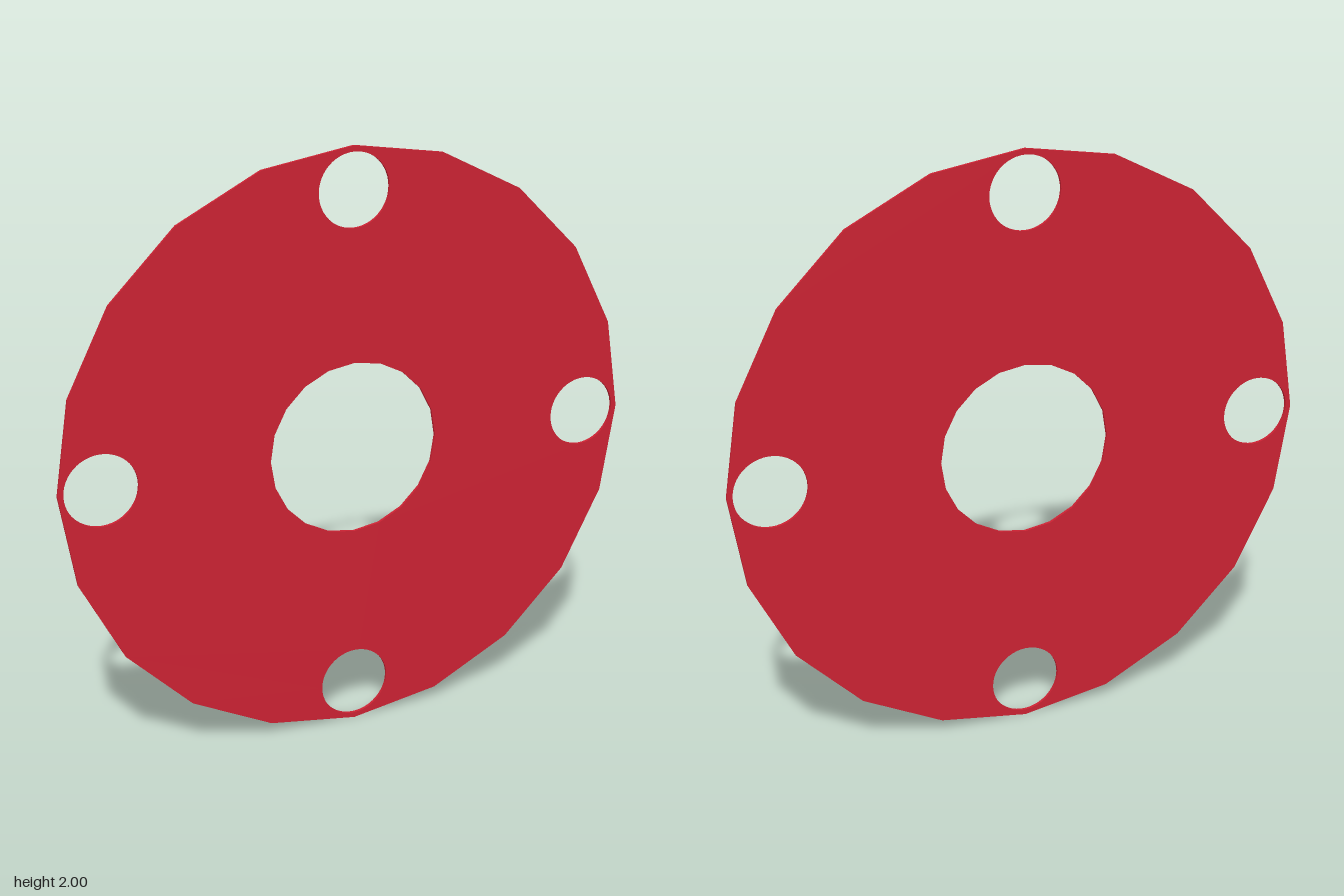
import * as THREE from 'three';

const THICKNESS = 0.01;

// Points of a regular polygon with its first corner on +x
function ring(radius, sides, cx = 0, cy = 0) {
  return Array.from({ length: sides }, (_, i) => {
    const a = (i / sides) * Math.PI * 2;
    return new THREE.Vector2(cx + radius * Math.cos(a), cy + radius * Math.sin(a));
  });
}

export function createModel() {
  const group = new THREE.Group();
  group.name = 'flangeGasket';

  // Twenty-sided disc with a central bore
  const outline = new THREE.Shape(ring(1, 20));
  outline.holes.push(new THREE.Path(ring(0.295, 20)));

  // Four round bolt holes near the rim
  for (let i = 0; i < 4; i++) {
    const a = (i * Math.PI) / 2;
    outline.holes.push(new THREE.Path(ring(0.121, 48, 0.86 * Math.cos(a), 0.86 * Math.sin(a))));
  }

  // Thin plate, centred in z and standing on the ground
  const geometry = new THREE.ExtrudeGeometry(outline, { depth: THICKNESS, bevelEnabled: false });
  geometry.translate(0, 1, -THICKNESS / 2);

  const plate = new THREE.Mesh(geometry, new THREE.MeshStandardMaterial({ color: 0xcc2233 }));
  plate.name = 'gasketPlate';
  group.add(plate);
  return group;
}
